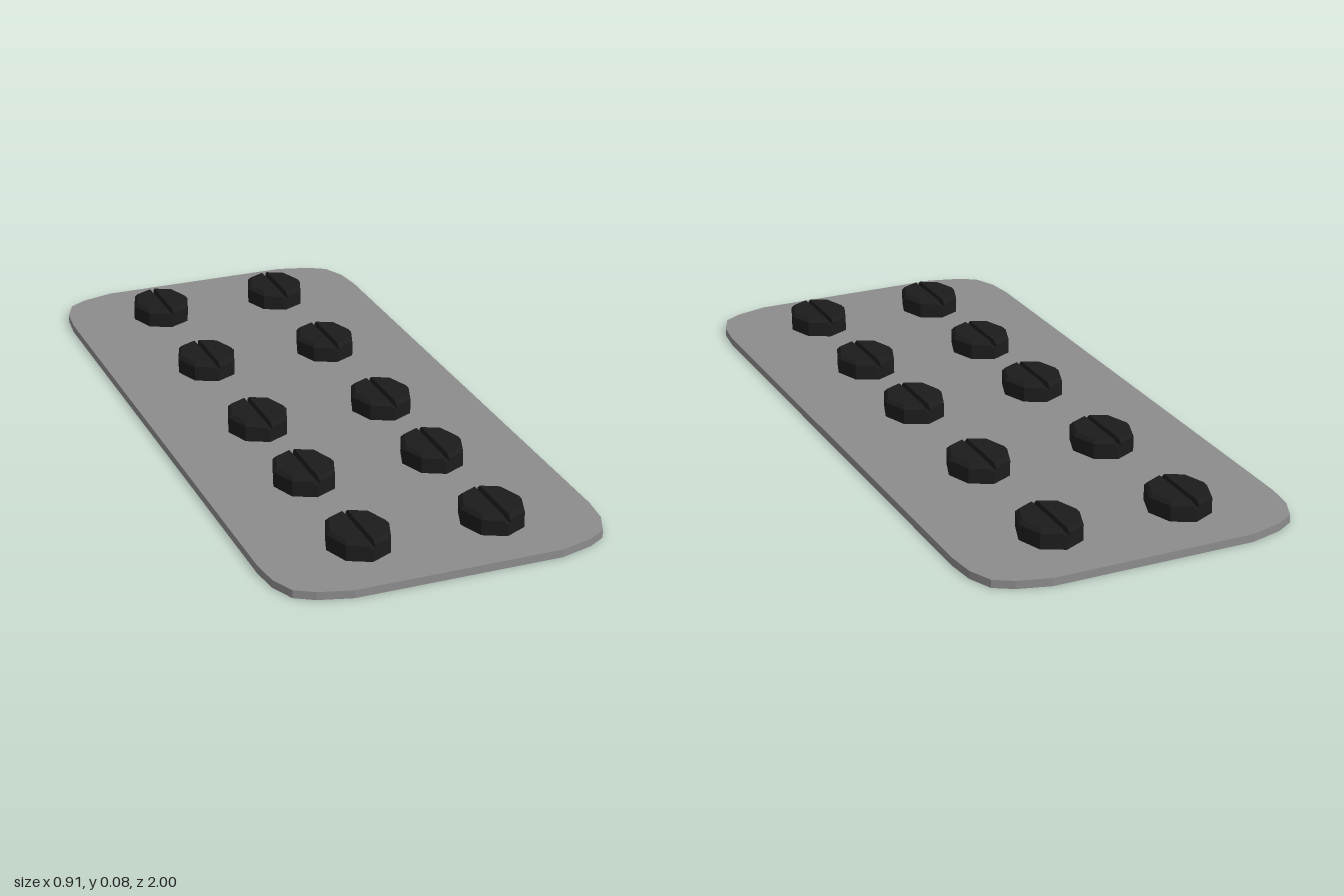
import * as THREE from 'three';
import { ConvexGeometry } from 'three/addons/geometries/ConvexGeometry.js';

const PLATE_TOP = 0.022;
const SLOT_FLOOR = 0.057;
const CHAMFER_Y = 0.065;
const HEAD_TOP = 0.075;
const RX = 0.085, RZ = 0.1;   // bolt radii
const SLOT = 0.007;           // half width of the slot

// Flat plate with rounded, faceted corners
function plateGeometry() {
  const corner = [[0.457, 0.8], [0.448, 0.88], [0.42, 0.945], [0.37, 0.975], [0.28, 1]];
  const back = [...corner].reverse();
  const outline = [
    ...corner,
    ...back.map(([x, z]) => [-x, z]),
    ...corner.map(([x, z]) => [-x, -z]),
    ...back.map(([x, z]) => [x, -z]),
  ];
  const shape = new THREE.Shape(outline.map(([x, z]) => new THREE.Vector2(x, z)));
  return new THREE.ExtrudeGeometry(shape, { depth: PLATE_TOP, bevelEnabled: false })
    .rotateX(-Math.PI / 2);
}

// One half of the chamfered octagonal head, cut off flat at the slot
function halfHeadGeometry(side) {
  const points = [];
  const c = Math.SQRT1_2;
  for (const [y, k] of [[SLOT_FLOOR, 1], [CHAMFER_Y, 1], [HEAD_TOP, 0.89]]) {
    const cutZ = RZ * k * (1 - (SLOT / (RX * k * c)) * (1 - c));
    const half = [[SLOT, cutZ], [RX * k * c, RZ * k * c], [RX * k, 0],
      [RX * k * c, -RZ * k * c], [SLOT, -cutZ]];
    for (const [x, z] of half) points.push(new THREE.Vector3(side * x, y, z));
  }
  return new ConvexGeometry(points);
}

export function createModel() {
  const model = new THREE.Group();
  model.name = 'boltedPlate';
  const plateMaterial = new THREE.MeshStandardMaterial({ color: 0x8c8c8c, flatShading: true });
  const boltMaterial = new THREE.MeshStandardMaterial({ color: 0x1c1c1c, flatShading: true });

  const add = (parent, name, geometry, material) => {
    const mesh = new THREE.Mesh(geometry, material);
    mesh.name = name;
    parent.add(mesh);
  };

  add(model, 'plate', plateGeometry(), plateMaterial);

  // Bolt body, whose top forms the slot floor
  const bodyHeight = SLOT_FLOOR - PLATE_TOP;
  const body = new THREE.CylinderGeometry(1, 1, bodyHeight, 8)
    .scale(RX, 1, RZ)
    .translate(0, PLATE_TOP + bodyHeight / 2, 0);
  const leftHead = halfHeadGeometry(1);
  const rightHead = halfHeadGeometry(-1);

  // Two columns of five slotted bolts
  for (const x of [-0.185, 0.182]) {
    for (const z of [-0.78, -0.36, 0.065, 0.415, 0.787]) {
      const bolt = new THREE.Group();
      bolt.name = 'bolt';
      add(bolt, 'boltBody', body, boltMaterial);
      add(bolt, 'boltHeadLeft', leftHead, boltMaterial);
      add(bolt, 'boltHeadRight', rightHead, boltMaterial);
      bolt.position.set(x, 0, z);
      model.add(bolt);
    }
  }
  return model;
}
